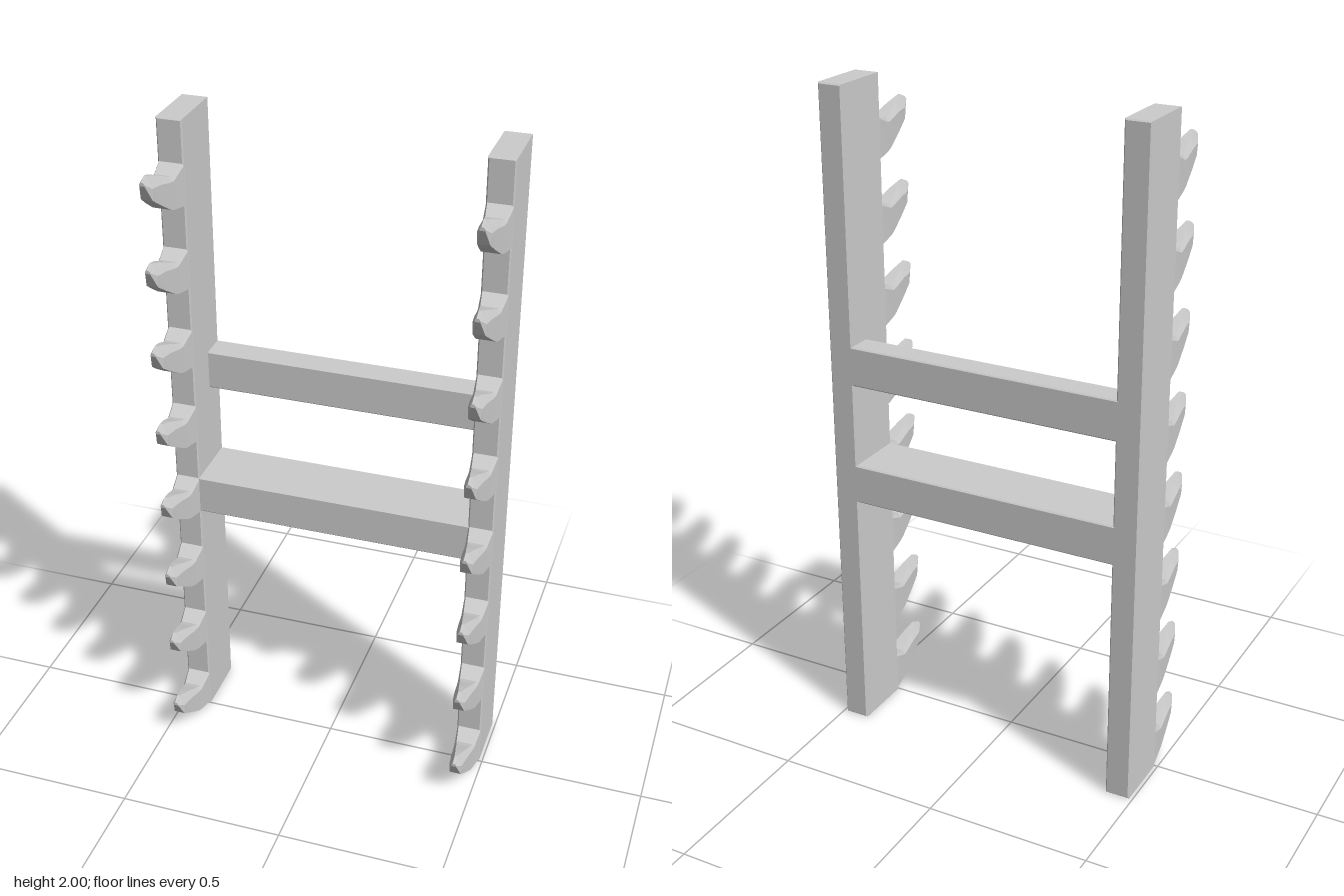
import * as THREE from 'three';

const grey = new THREE.MeshStandardMaterial({ color: 0xcccccc, flatShading: true });

// Box with small chamfered edges, given by its min and max corners.
function chamferedBox(name, [x0, y0, z0], [x1, y1, z1], c = 0.004) {
  const shape = new THREE.Shape([
    new THREE.Vector2(x0 + c, y0 + c), new THREE.Vector2(x1 - c, y0 + c),
    new THREE.Vector2(x1 - c, y1 - c), new THREE.Vector2(x0 + c, y1 - c),
  ]);
  const geo = new THREE.ExtrudeGeometry(shape, {
    depth: z1 - z0 - 2 * c, bevelEnabled: true, bevelSegments: 1, bevelSize: c, bevelThickness: c,
  });
  geo.translate(0, 0, z0 + c);
  const mesh = new THREE.Mesh(geo, grey);
  mesh.name = name;
  return mesh;
}

// Hook sections: z, bottom y, shoulder y, top y, lower half width, shoulder half width, top half width.
const hookSections = [
  [-0.01, 0.005, 0.121, 0.127, 0.036, 0.0365, 0.034],
  [0.0, 0.006, 0.119, 0.126, 0.036, 0.0365, 0.033],
  [0.053, 0.015, 0.098, 0.11, 0.029, 0.031, 0.025],
  [0.072, 0.022, 0.1, 0.116, 0.027, 0.029, 0.021],
  [0.122, 0.054, 0.113, 0.138, 0.022, 0.024, 0.012],
  [0.165, 0.084, 0.118, 0.153, 0.017, 0.019, 0.004],
  [0.19, 0.132, 0.136, 0.142, 0.007, 0.008, 0.003],
];

// Tapered, upturned hook lofted through six-sided sections.
function hookGeometry() {
  const pos = [], index = [], n = 6;
  for (const [z, yb, ym, yt, wb, wm, wt] of hookSections) {
    pos.push(-wb, yb, z, wb, yb, z, wm, ym, z, wt, yt, z, -wt, yt, z, -wm, ym, z);
  }
  const last = (hookSections.length - 1) * n;
  for (let s = 0; s < last; s += n) {
    for (let j = 0; j < n; j++) {
      const k = (j + 1) % n;
      index.push(s + j, s + k, s + n + k, s + j, s + n + k, s + n + j);
    }
  }
  for (let j = 1; j < n - 1; j++) index.push(last, last + j, last + j + 1);
  const geo = new THREE.BufferGeometry();
  geo.setAttribute('position', new THREE.Float32BufferAttribute(pos, 3));
  geo.setIndex(index);
  const flat = geo.toNonIndexed();
  flat.computeVertexNormals();
  return flat;
}

export function createModel() {
  const model = new THREE.Group();
  model.name = 'wallRack';
  const hookGeo = hookGeometry();

  // Two uprights, each with eight evenly spaced hooks.
  for (const [side, s] of [['left', 1], ['right', -1]]) {
    const upright = new THREE.Group();
    upright.name = `${side}Upright`;
    const x = 0.4525 * s, w = 0.0375;
    upright.add(chamferedBox(`${side}Post`, [x - w, 0, -0.19], [x + w, 2, 0]));
    for (let i = 0; i < 8; i++) {
      const hook = new THREE.Mesh(hookGeo, grey);
      hook.name = `${side}Hook${i + 1}`;
      hook.position.set(x, i * 0.25, 0);
      upright.add(hook);
    }
    model.add(upright);
  }

  // Cross bars: a shallow upper one and a full-depth lower one.
  model.add(chamferedBox('upperCrossBar', [-0.425, 1.13, -0.19], [0.425, 1.25, -0.11]));
  model.add(chamferedBox('lowerCrossBar', [-0.425, 0.757, -0.19], [0.425, 0.877, 0]));
  return model;
}
